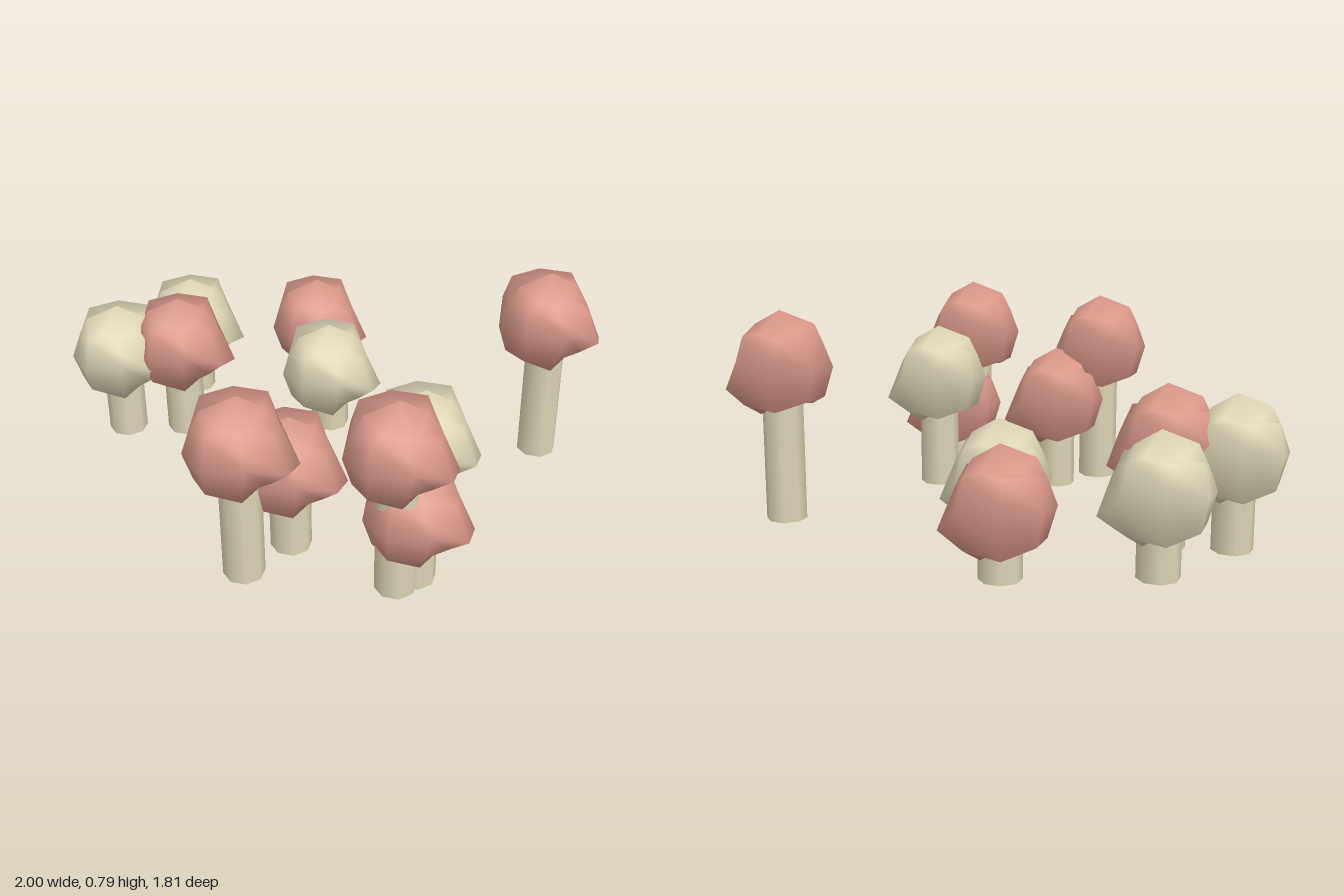
import * as THREE from 'three';

const cream = new THREE.MeshStandardMaterial({ color: 0xddd5b6, side: THREE.DoubleSide });
cream.name = 'cream';
const pink = new THREE.MeshStandardMaterial({ color: 0xd9978a, side: THREE.DoubleSide });
pink.name = 'dusty pink';

// Crumpled crown: rings of eight points (x, y, z), starting at +x and turning through +z.
const rings = [
  // folds around the pointed tip
  [[0.09, 0.15, 0], [0.065, 0.115, 0.065], [0, 0.1, 0.08], [-0.065, 0.115, 0.065],
    [-0.12, 0.152, 0], [-0.065, 0.12, -0.065], [0, 0.115, -0.09], [0.065, 0.12, -0.065]],
  // shoulder
  [[0.145, 0.06, 0], [0.11, 0.1, 0.11], [0, 0.075, 0.15], [-0.11, 0.125, 0.12],
    [-0.155, 0.08, 0], [-0.115, 0.125, -0.13], [0, 0.13, -0.165], [0.115, 0.125, -0.125]],
  // brim, falling from the front to the side
  [[0.207, -0.094, 0], [0.148, -0.015, 0.165], [0.005, 0.07, 0.23], [-0.13, 0.02, 0.17],
    [-0.188, -0.01, 0.005], [-0.135, 0.02, -0.165], [0.005, 0.06, -0.2], [0.15, 0, -0.14]],
  // lower edge, tucked in under the brim
  [[0.125, -0.125, 0], [0.1, -0.09, 0.1], [0, -0.07, 0.16], [-0.12, -0.09, 0.13],
    [-0.155, -0.12, 0], [-0.115, -0.11, -0.13], [0, -0.14, -0.177], [0.12, -0.12, -0.13]],
  // underside around the trunk
  [[0.085, -0.13, 0], [0.06, -0.135, 0.06], [0, -0.17, 0.09], [-0.07, -0.14, 0.07],
    [-0.11, -0.145, 0], [-0.07, -0.13, -0.07], [0, -0.13, -0.09], [0.065, -0.165, -0.09]],
];

function makeCrown() {
  const points = [[0, 0.2, 0], ...rings.flat(), [0, -0.1, 0]];
  const bottom = points.length - 1;
  const index = [];
  for (let i = 0; i < 8; i++) {
    const j = (i + 1) % 8;
    index.push(0, 1 + j, 1 + i);
    for (let r = 0; r < rings.length - 1; r++) {
      const a = 1 + r * 8 + i, b = 1 + r * 8 + j;
      index.push(a, b, a + 8, b, b + 8, a + 8);
    }
    index.push(bottom - 8 + i, bottom - 8 + j, bottom);
  }
  const geometry = new THREE.BufferGeometry();
  geometry.setAttribute('position', new THREE.Float32BufferAttribute(points.flat(), 3));
  geometry.setIndex(index);
  geometry.computeVertexNormals();
  return geometry;
}

// Each tree: x, z, top height, crown colour
const trees = [
  [-0.525, -0.695, 0.505, cream],
  [-0.815, -0.42, 0.56, cream],
  [-0.58, -0.395, 0.59, pink],
  [-0.005, -0.70, 0.46, pink],
  [0, -0.345, 0.455, cream],
  [0.79, -0.06, 0.785, pink],
  [-0.235, 0.40, 0.555, pink],
  [-0.415, 0.53, 0.745, pink],
  [0.235, 0.425, 0.64, cream],
  [0.10, 0.675, 0.78, pink],
  [0.175, 0.635, 0.485, pink],
];

export function createModel() {
  const model = new THREE.Group();
  model.name = 'grove';
  const crownGeometry = makeCrown();
  for (const [x, z, top, color] of trees) {
    const tree = new THREE.Group();
    tree.name = 'tree';
    tree.position.set(x, 0, z);
    const middle = top - 0.2;

    // Hollow trunk that runs up into the crown
    const trunk = new THREE.Mesh(new THREE.CylinderGeometry(0.075, 0.075, middle, 8, 1, true), cream);
    trunk.name = 'trunk';
    trunk.position.y = middle / 2;

    const crown = new THREE.Mesh(crownGeometry, color);
    crown.name = 'crown';
    crown.position.y = middle;

    tree.add(trunk, crown);
    model.add(tree);
  }
  return model;
}
